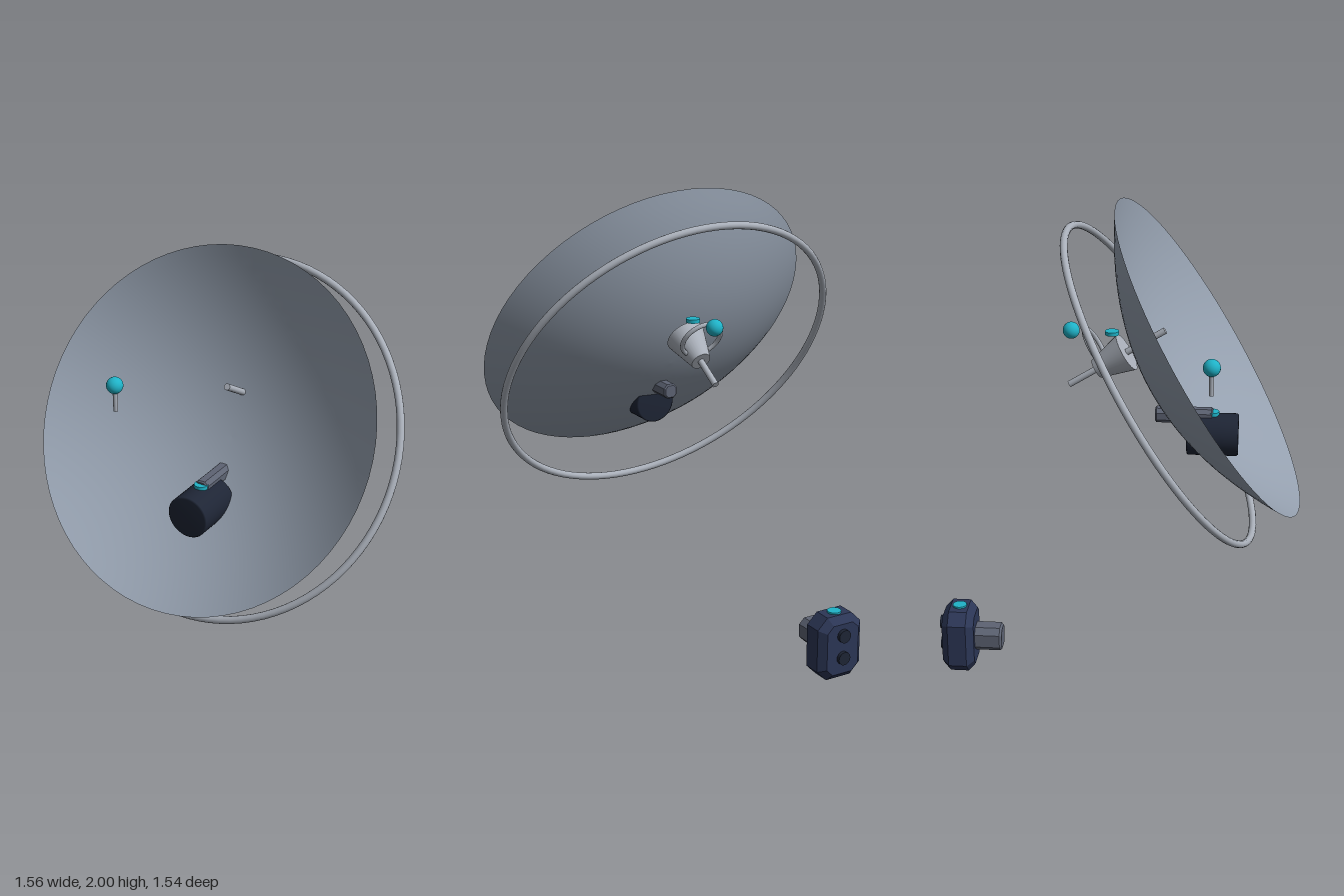
import * as THREE from 'three';

const mat = (color, extra = {}) => new THREE.MeshStandardMaterial({ color, ...extra });
const shell = mat(0x949fae, { side: THREE.DoubleSide });
const metal = mat(0xaab0ba);
const navy = mat(0x2c3656, { flatShading: true });
const dark = mat(0x1e2535);
const slate = mat(0x5d6373, { flatShading: true });
const cyan = mat(0x1fb3c8);

function add(parent, name, geometry, material, x = 0, y = 0, z = 0) {
  const mesh = new THREE.Mesh(geometry, material);
  mesh.name = name;
  mesh.position.set(x, y, z);
  parent.add(mesh);
  return mesh;
}

// Box with cut corners and bevelled end faces, centred on the origin, long axis z
function chamferedBlock(w, h, d, cut, bevel) {
  const a = w / 2 - bevel, b = h / 2 - bevel;
  const c = cut;
  const outline = [[a, -b + c], [a, b - c], [a - c, b], [-a + c, b], [-a, b - c], [-a, -b + c], [-a + c, -b], [a - c, -b]];
  const shape = new THREE.Shape(outline.map(([x, y]) => new THREE.Vector2(x, y)));
  return new THREE.ExtrudeGeometry(shape, {
    depth: d - 2 * bevel, bevelEnabled: true, bevelSize: bevel, bevelThickness: bevel, bevelSegments: 1,
  }).translate(0, 0, -d / 2 + bevel);
}

const lampDisc = () => new THREE.CylinderGeometry(0.03, 0.03, 0.016, 24);
const lampBall = () => new THREE.SphereGeometry(0.036, 24, 16);

export function createModel() {
  const model = new THREE.Group();
  model.name = 'dishAntenna';

  // Tilted assembly: local +y is the direction the dish faces
  const tilted = new THREE.Group();
  tilted.name = 'tiltedDish';
  tilted.position.set(0, 1.355, 0.37);
  tilted.rotation.x = 1.016;
  model.add(tilted);

  // Parabolic bowl
  const R = 0.76, depth = 0.27;
  const profile = [];
  for (let i = 0; i <= 20; i++) {
    const t = i / 20;
    profile.push(new THREE.Vector2(R * t, depth * (t * t - 1)));
  }
  add(tilted, 'bowl', new THREE.LatheGeometry(profile, 72), shell);

  // Large hoop behind the bowl
  add(tilted, 'backHoop', new THREE.TorusGeometry(0.765, 0.016, 12, 96).rotateX(Math.PI / 2), metal, 0, -0.24, 0);

  // Feed rod, cone and small hoop
  add(tilted, 'feedRod', new THREE.CylinderGeometry(0.014, 0.014, 0.48, 16), metal, 0, -0.347, -0.193);
  add(tilted, 'feedCone', new THREE.CylinderGeometry(0.085, 0.043, 0.15, 32), metal, 0, -0.373, -0.193);
  add(tilted, 'feedHoop', new THREE.TorusGeometry(0.089, 0.01, 10, 40).rotateX(Math.PI / 2), metal, 0, -0.401, -0.277);

  // Lamps on and around the feed
  add(model, 'feedLampDisc', lampDisc(), cyan, 0, 1.447, -0.047);
  add(model, 'rearLampBall', lampBall(), cyan, 0, 1.453, -0.22);
  add(model, 'sideLampBall', lampBall(), cyan, -0.414, 1.453, 0.387);
  add(model, 'sideLampStem', new THREE.CylinderGeometry(0.01, 0.01, 0.1, 12), metal, -0.414, 1.385, 0.387);

  // Motor drum through the lower bowl, with bevelled rims
  const drum = [[0, -0.11], [0.086, -0.11], [0.092, -0.104], [0.092, 0.104], [0.086, 0.11], [0, 0.11]];
  // Repeated corner points keep the rims crisp
  const drumProfile = drum.flatMap(([r, y]) => [new THREE.Vector2(r, y), new THREE.Vector2(r, y)]).slice(1, -1);
  const drumParts = drumProfile.filter((p, i) => i === 0 || !p.equals(drumProfile[i - 1]));
  add(model, 'motorDrum', new THREE.LatheGeometry(drumParts, 40).rotateX(Math.PI / 2), dark, 0, 1.0, 0.386);
  add(model, 'motorArm', chamferedBlock(0.064, 0.064, 0.247, 0.013, 0.006), slate, 0, 1.085, 0.262);
  add(model, 'motorLampDisc', lampDisc(), cyan, 0, 1.097, 0.382);

  // Separate control box standing on the ground
  const box = new THREE.Group();
  box.name = 'controlBox';
  box.position.set(-0.309, 0.143, -0.685);
  model.add(box);
  add(box, 'boxBody', chamferedBlock(0.217, 0.285, 0.138, 0.03, 0.03), navy);
  add(box, 'boxNozzle', chamferedBlock(0.108, 0.108, 0.13, 0.02, 0.009), slate, 0, 0, 0.12);
  add(box, 'boxLampDisc', lampDisc(), cyan, 0, 0.142, 0);
  for (const y of [0.061, -0.04]) {
    add(box, 'boxKnob', new THREE.CylinderGeometry(0.029, 0.029, 0.03, 16).rotateX(Math.PI / 2), dark, 0, y, -0.07);
  }
  return model;
}
